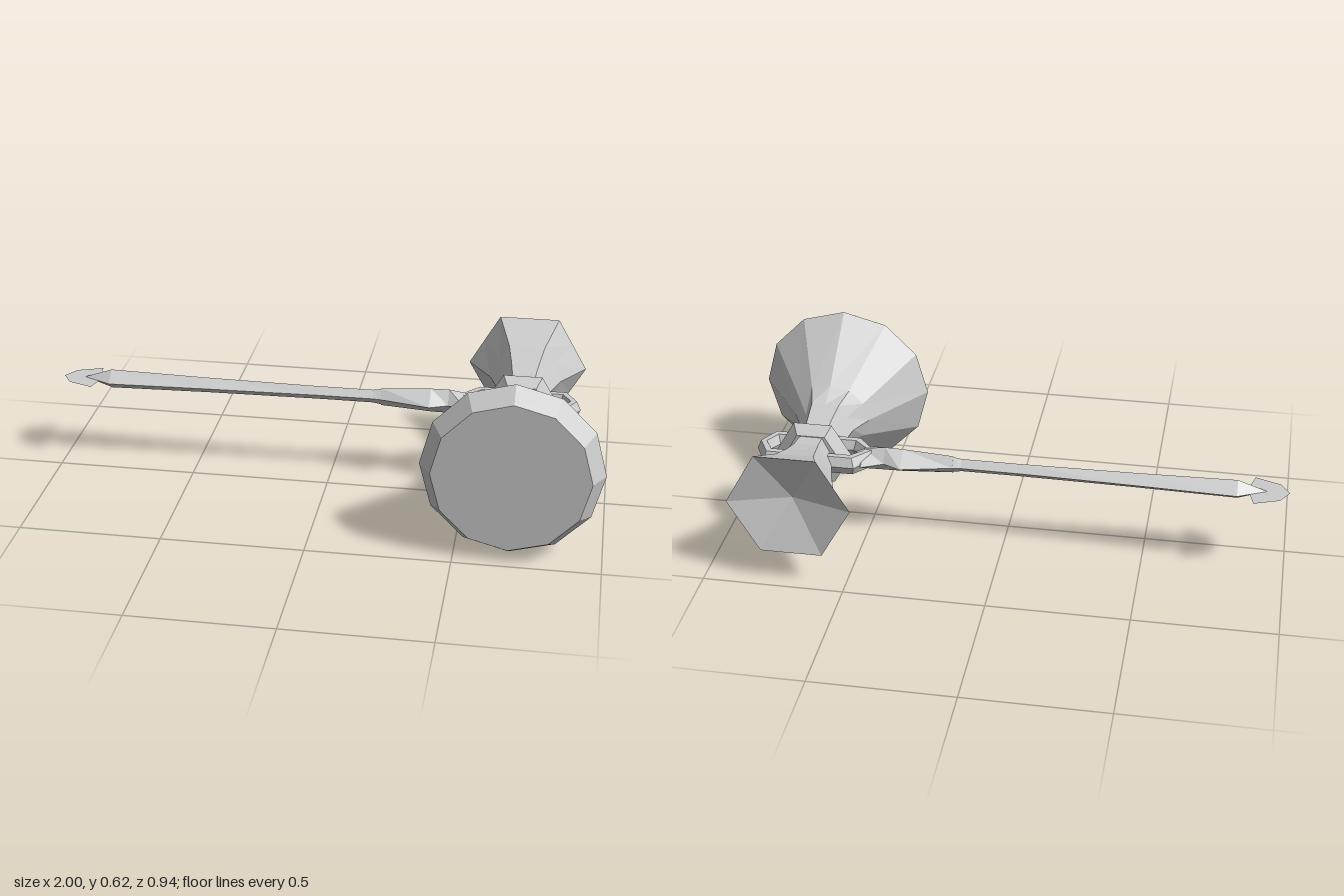
import * as THREE from 'three';

const CX = 0.685, CY = 0.314, CZ = -0.105;

// Skin a list of equal-length rings (each counter-clockwise about the travel direction)
function loft(rings, { closed = false, startCap = true, endCap = true } = {}) {
  const n = rings[0].length, m = rings.length, index = [];
  const last = closed ? m : m - 1;
  for (let i = 0; i < last; i++) {
    for (let j = 0; j < n; j++) {
      const k = (j + 1) % n, r = (i + 1) % m;
      const a = i * n + j, b = i * n + k, c = r * n + k, d = r * n + j;
      index.push(a, b, c, a, c, d);
    }
  }
  for (let j = 1; j < n - 1 && !closed; j++) {
    if (startCap) index.push(0, j + 1, j);
    if (endCap) index.push((m - 1) * n, (m - 1) * n + j, (m - 1) * n + j + 1);
  }
  const g = new THREE.BufferGeometry();
  g.setAttribute('position', new THREE.Float32BufferAttribute(rings.flat(2), 3));
  g.setIndex(index);
  const flat = g.toNonIndexed();
  flat.computeVertexNormals();
  return flat;
}

// Twelve points round the head axis; hex = 1 pulls every second point onto a hexagon's edge
function headRing(z, rx, ry, hex) {
  return Array.from({ length: 12 }, (_, i) => {
    const a = (i * Math.PI) / 6;
    const s = i % 2 ? 1 - hex * (1 - Math.cos(Math.PI / 6)) : 1;
    return [CX + rx * s * Math.cos(a), CY + ry * s * Math.sin(a), z];
  });
}

export function createModel() {
  const group = new THREE.Group();
  const grey = new THREE.MeshStandardMaterial({ color: 0xcccccc });
  grey.name = 'plain grey';
  grey.flatShading = true;
  grey.side = THREE.DoubleSide;
  const add = (name, geometry) => {
    const mesh = new THREE.Mesh(geometry, grey);
    mesh.name = name;
    group.add(mesh);
  };

  // Head: hollow hexagonal flare at the back, waist, twelve-sided striking face in front
  add('hammerHead', loft([
    headRing(-0.405, 0.001, 0.001, 1),
    headRing(-0.468, 0.217, 0.219, 1),
    headRing(-0.342, 0.13, 0.15, 1),
    headRing(-0.255, 0.1, 0.118, 1),
    headRing(-0.2, 0.086, 0.103, 1),
    headRing(-0.14, 0.08, 0.097, 1),
    headRing(-0.07, 0.08, 0.088, 1),
    headRing(0.07, 0.1, 0.113, 1),
    headRing(0.152, 0.14, 0.135, 0.1),
    headRing(0.395, 0.311, 0.311, 0),
    headRing(0.468, 0.268, 0.268, 0),
  ]));

  // Ridged collar round the waist
  add('collar', loft([
    headRing(-0.141, 0.1, 0.1, 1),
    headRing(CZ, 0.137, 0.135, 1),
    headRing(-0.069, 0.1, 0.1, 1),
  ]));

  // Bevelled loop that grips the head
  const path = [[0.872, 0], [0.836, -0.064], [0.535, -0.064], [0.475, 0], [0.535, 0.064], [0.836, 0.064]];
  const section = [[1.13, 0], [1.04, 0.033], [0.92, 0.033], [0.84, 0], [0.92, -0.033], [1.04, -0.033]];
  add('headLoop', loft(path.map(([x, z]) => section.map(([s, y]) => {
    const reach = (s - 1) * 0.17;
    const along = z === 0 ? Math.sign(x - CX) : Math.sign(x - CX) * 0.58;
    return [x + along * reach, CY + y, CZ + z + Math.sign(z) * reach];
  })), { closed: true }));

  // Diamond-section handle: x, half depth, half height
  const handle = [
    [-0.92, 0.001, 0.001], [-0.82, 0.05, 0.036], [-0.45, 0.036, 0.029],
    [-0.05, 0.025, 0.025], [0.15, 0.024, 0.025], [0.18, 0.027, 0.03],
  ];
  const fork = [
    [0.18, 0.027, 0.033], [0.36, 0.067, 0.045], [0.425, 0.04, 0.046], [0.5, 0.075, 0.035], [0.53, 0.02, 0.02],
  ];
  const diamond = ([x, hz, hy]) => [
    [x, CY + hy, CZ], [x, CY, CZ + hz], [x, CY - hy, CZ], [x, CY, CZ - hz],
  ];
  add('handleShaft', loft(handle.map(diamond)));
  add('handleNeck', loft(fork.map(diamond)));

  // Flat plate at the end of the handle
  const plate = new THREE.Shape([
    [-1, 0], [-0.967, -0.053], [-0.878, -0.086], [-0.855, 0], [-0.878, 0.086], [-0.967, 0.053],
  ].map(([x, z]) => new THREE.Vector2(x, z)));
  const plateGeometry = new THREE.ShapeGeometry(plate);
  plateGeometry.rotateX(-Math.PI / 2).translate(0, CY, CZ);
  add('pommelPlate', plateGeometry);

  return group;
}
